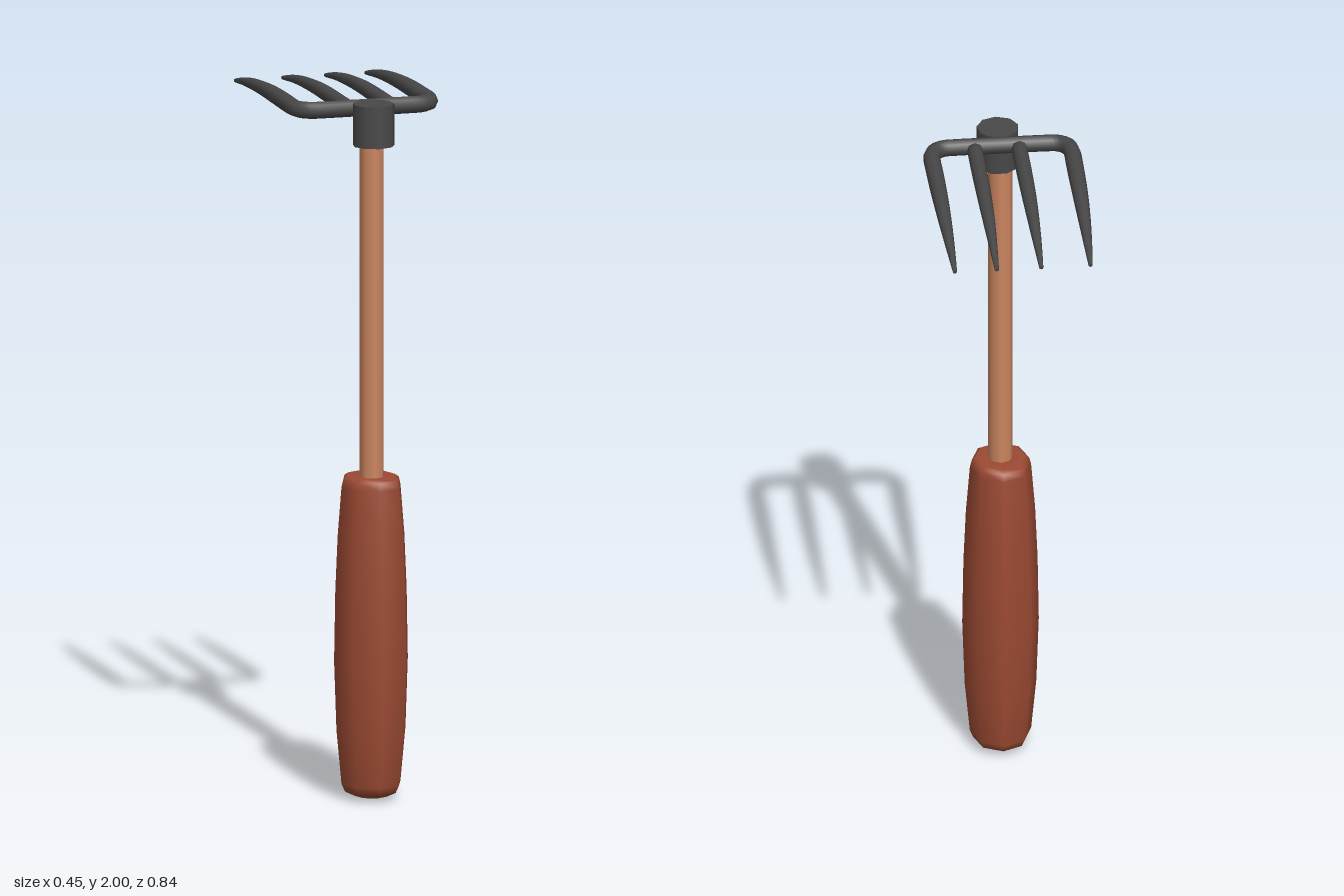
import * as THREE from 'three';
import { toCreasedNormals } from 'three/addons/utils/BufferGeometryUtils.js';

const V = (x, y, z) => new THREE.Vector3(x, y, z);
const material = (color) => new THREE.MeshStandardMaterial({ color });
const STEEL = material(0x484848);
const GRIP = material(0x9c4a33);
const WOOD = material(0xcc8660);

// Height and thickness along a tine, both given by its z position
const TIP_Z = -0.42;
const drop = (z) => 1.977 - 0.037 * Math.pow(Math.max(0, (0.02 - z) / 0.44), 2.2);
const thickness = (z, r) => {
  const t = THREE.MathUtils.clamp((0.1 - z) / (0.1 - TIP_Z), 0, 1);
  return r + (0.006 - r) * Math.pow(t, 2);
};

// Tube whose rings shrink towards the tips, with closed pointed ends
function taperedTube(points, r, segments, pointedStart) {
  const path = new THREE.CatmullRomCurve3(points, false, 'centripetal');
  const sides = 8;
  const geo = new THREE.TubeGeometry(path, segments, 1, sides);
  const pos = geo.attributes.position;
  const p = V(0, 0, 0);
  for (let i = 0; i <= segments; i++) {
    const center = path.getPointAt(i / segments);
    const nearEnd = i >= segments - 1;
    const nearStart = pointedStart && i <= 1;
    const target = nearEnd ? path.getPointAt(1) : nearStart ? path.getPointAt(0) : center;
    const closed = i === segments || i === 0;
    const radius = closed ? 0 : thickness(target.z, r);
    for (let j = 0; j <= sides; j++) {
      const k = i * (sides + 1) + j;
      p.fromBufferAttribute(pos, k).sub(center).multiplyScalar(radius).add(target);
      pos.setXYZ(k, p.x, p.y, p.z);
    }
  }
  geo.computeVertexNormals();
  return toCreasedNormals(geo, 1.0);
}

// Centre line of one tine, from its root to its tip
function tineLine(rootX, tipX, rootZ) {
  const line = [];
  for (let i = 0; i <= 8; i++) {
    const t = i / 8;
    const z = rootZ + (TIP_Z - rootZ) * t;
    line.push(V(rootX + (tipX - rootX) * t * t, drop(z), z));
  }
  return line;
}

export function createModel() {
  const group = new THREE.Group();
  const add = (name, geometry, mat, x = 0, y = 0, z = 0) => {
    const mesh = new THREE.Mesh(geometry, mat);
    mesh.name = name;
    mesh.position.set(x, y, z);
    group.add(mesh);
    return mesh;
  };

  // Eight-sided swelling grip, slightly narrower across than deep
  const profile = [
    [0, 0], [0.055, 0.008], [0.088, 0.022], [0.1, 0.045], [0.117, 0.2], [0.125, 0.4],
    [0.121, 0.6], [0.113, 0.76], [0.1, 0.9], [0.094, 0.922], [0.08, 0.93], [0.04, 0.928], [0, 0.928],
  ].map(([r, y]) => new THREE.Vector2(r, y));
  const grip = add('grip', new THREE.LatheGeometry(profile, 8), GRIP, -0.008, 0, 0.29);
  grip.scale.x = 0.87;

  // Wooden shaft running up into the collar
  const shaft = add('shaft', new THREE.CylinderGeometry(0.039, 0.039, 1.02, 8), WOOD, -0.008, 1.41, 0.295);
  shaft.scale.x = 0.9;

  // Steel collar
  add('collar', new THREE.CylinderGeometry(0.06, 0.06, 0.12, 9), STEEL, 0, 1.94, 0.289);

  // Outer tines and cross bar bent from one rod
  const leftTine = tineLine(0.199, 0.192, 0.165);
  const rightTine = tineLine(-0.199, -0.193, 0.165);
  const y = drop(0.2);
  const frame = [
    ...rightTine.reverse(),
    V(-0.195, y, 0.19), V(-0.182, y, 0.211), V(-0.16, y, 0.223), V(-0.13, y, 0.225),
    V(0, y, 0.225),
    V(0.13, y, 0.225), V(0.16, y, 0.223), V(0.182, y, 0.211), V(0.195, y, 0.19),
    ...leftTine,
  ];
  add('forkFrame', taperedTube(frame, 0.0245, 100, true), STEEL);

  // Two inner tines rooted in the cross bar
  for (const [name, x] of [['rightInnerTine', -0.053], ['leftInnerTine', 0.073]]) {
    add(name, taperedTube(tineLine(x, x, 0.225), 0.0225, 32, false), STEEL);
  }

  return group;
}
